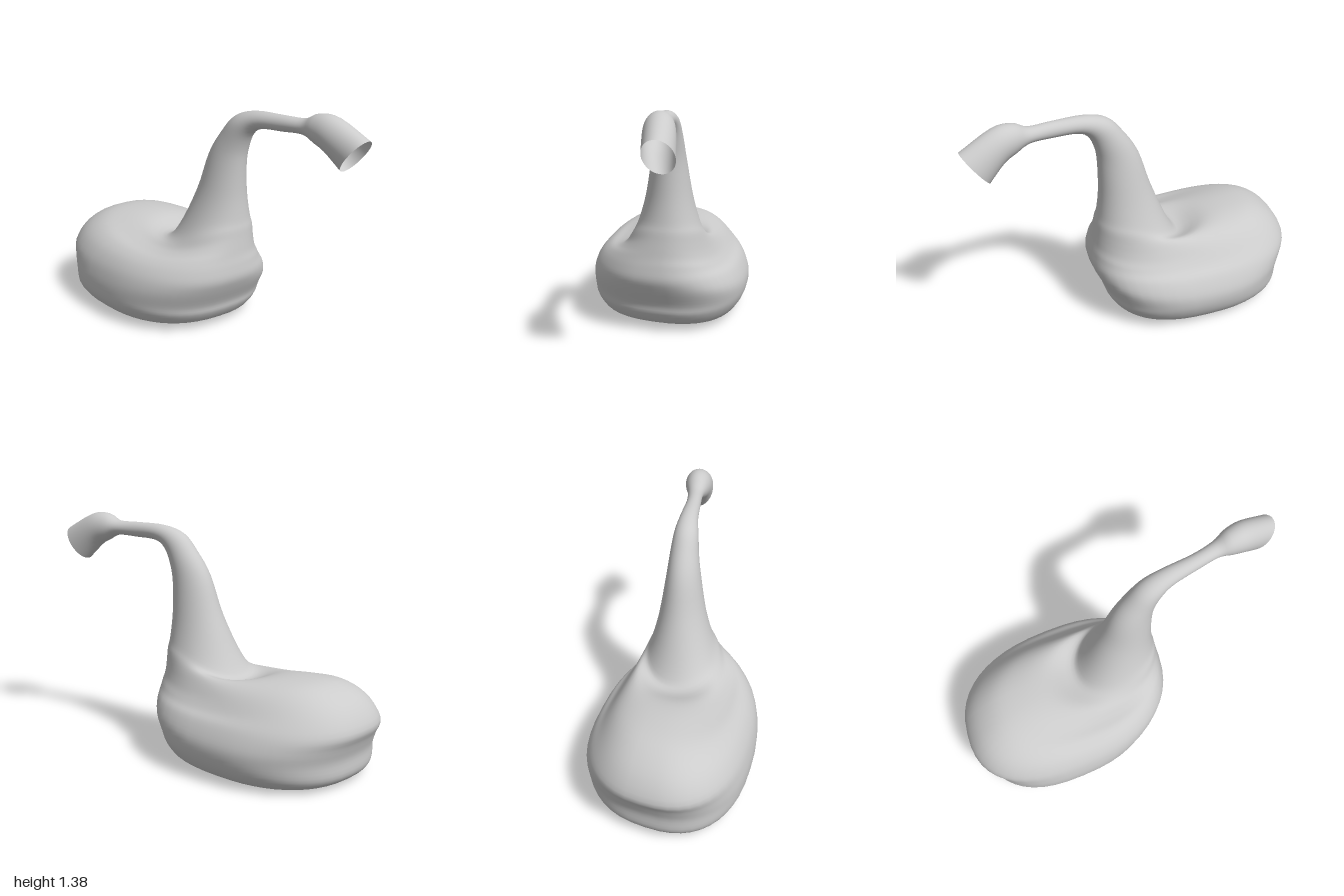
import * as THREE from 'three';

// Cross-sections: [xMin, xMax, zFront, yFront, zBack, yBack, y at xMin, y at xMax]
const body = [
  [0, 0, -0.38, 0.018, -0.38, 0.018, 0.018, 0.018],
  [-0.33, 0.32, 0, 0.03, -0.75, 0.004, 0.013, 0.013],
  [-0.38, 0.37, 0.07, 0.034, -0.83, 0.008, 0.018, 0.018],
  [-0.43, 0.42, 0.14, 0.055, -0.9, 0.03, 0.05, 0.05],
  [-0.47, 0.46, 0.19, 0.12, -0.94, 0.08, 0.115, 0.11],
  [-0.482, 0.48, 0.205, 0.18, -0.943, 0.17, 0.19, 0.18],
  [-0.477, 0.475, 0.255, 0.28, -0.968, 0.25, 0.265, 0.25],
  [-0.455, 0.435, 0.28, 0.35, -0.995, 0.33, 0.345, 0.335],
  [-0.41, 0.385, 0.275, 0.42, -0.92, 0.45, 0.415, 0.38],
];
const shoulderAndNeck = [
  [-0.35, 0.345, 0.265, 0.48, -0.78, 0.535, 0.455, 0.43],
  [-0.28, 0.315, 0.26, 0.53, -0.61, 0.555, 0.465, 0.48],
  [-0.22, 0.29, 0.255, 0.58, -0.44, 0.54, 0.485, 0.53],
  [-0.17, 0.265, 0.25, 0.63, -0.28, 0.485, 0.54, 0.585],
  [-0.12, 0.24, 0.24, 0.69, -0.2, 0.555, 0.64, 0.65],
  [-0.065, 0.205, 0.23, 0.83, -0.08, 0.82, 0.82, 0.8],
  [-0.025, 0.175, 0.235, 1, 0, 1.05, 1.03, 1.01],
  [0, 0.165, 0.25, 1.1, 0.09, 1.19, 1.145, 1.145],
  [0.02, 0.16, 0.29, 1.19, 0.18, 1.285, 1.238, 1.238],
];
const spout = [
  [0.05, 0.158, 0.36, 1.235, 0.31, 1.326, 1.28, 1.28],
  [0.08, 0.168, 0.5, 1.245, 0.5, 1.333, 1.289, 1.289],
  [0.1, 0.195, 0.63, 1.25, 0.63, 1.337, 1.293, 1.293],
  [0.09, 0.23, 0.71, 1.215, 0.71, 1.375, 1.295, 1.295],
  [0.09, 0.255, 0.775, 1.18, 0.82, 1.37, 1.275, 1.275],
  [0.115, 0.28, 0.86, 1.095, 1, 1.28, 1.188, 1.188],
];

function spline(values, t) {
  const i = Math.min(Math.floor(t), values.length - 2);
  const f = t - i;
  const at = (k) => values[THREE.MathUtils.clamp(k, 0, values.length - 1)];
  const [a, b, c, d] = [at(i - 1), at(i), at(i + 1), at(i + 2)];
  return b + 0.5 * f * (c - a + f * (2 * a - 5 * b + 4 * c - d + f * (3 * (b - c) + d - a)));
}

// Skin a smooth tube through tilted, slightly squared ovals
function loft(sections, segments, steps) {
  const columns = sections[0].map((_, c) => sections.map((row) => row[c]));
  const rings = (sections.length - 1) * steps;
  const positions = [];
  const index = [];
  for (let r = 0; r <= rings; r++) {
    const [x0, x1, zF, yF, zB, yB, yL, yR] = columns.map((col) => spline(col, r / steps));
    const wide = THREE.MathUtils.clamp((x1 - x0 - 0.25) / 0.5, 0, 1);
    const power = 2 / (2 + 0.45 * wide);
    const skew = 0.05 * wide;
    const midY = (yF + yB) / 2;
    for (let j = 0; j < segments; j++) {
      const a = (j / segments) * Math.PI * 2;
      const c = Math.sign(Math.cos(a)) * Math.abs(Math.cos(a)) ** power;
      const s = Math.sign(Math.sin(a)) * Math.abs(Math.sin(a)) ** power;
      const sideY = (yL + yR) / 2 + ((yR - yL) / 2) * c;
      positions.push(
        (x0 + x1) / 2 + ((x1 - x0) / 2) * c,
        Math.max(0, midY + ((yF - yB) / 2) * s + (sideY - midY) * (1 - s * s)),
        (zF + zB) / 2 + ((zF - zB) / 2) * s + skew * c
      );
      if (r < rings) {
        const p = r * segments + j;
        const q = r * segments + ((j + 1) % segments);
        index.push(p, p + segments, q, q, p + segments, q + segments);
      }
    }
  }
  const geometry = new THREE.BufferGeometry();
  geometry.setAttribute('position', new THREE.Float32BufferAttribute(positions, 3));
  geometry.setIndex(index);
  geometry.computeVertexNormals();
  return geometry;
}

export function createModel() {
  const group = new THREE.Group();
  group.name = 'longNeckedVessel';
  // The mouth of the spout is open, so the inside shows too
  const material = new THREE.MeshStandardMaterial({ color: 0xcccccc, side: THREE.DoubleSide });
  const skin = new THREE.Mesh(loft([...body, ...shoulderAndNeck, ...spout], 48, 4), material);
  skin.name = 'bodyNeckAndSpout';
  group.add(skin);
  return group;
}
